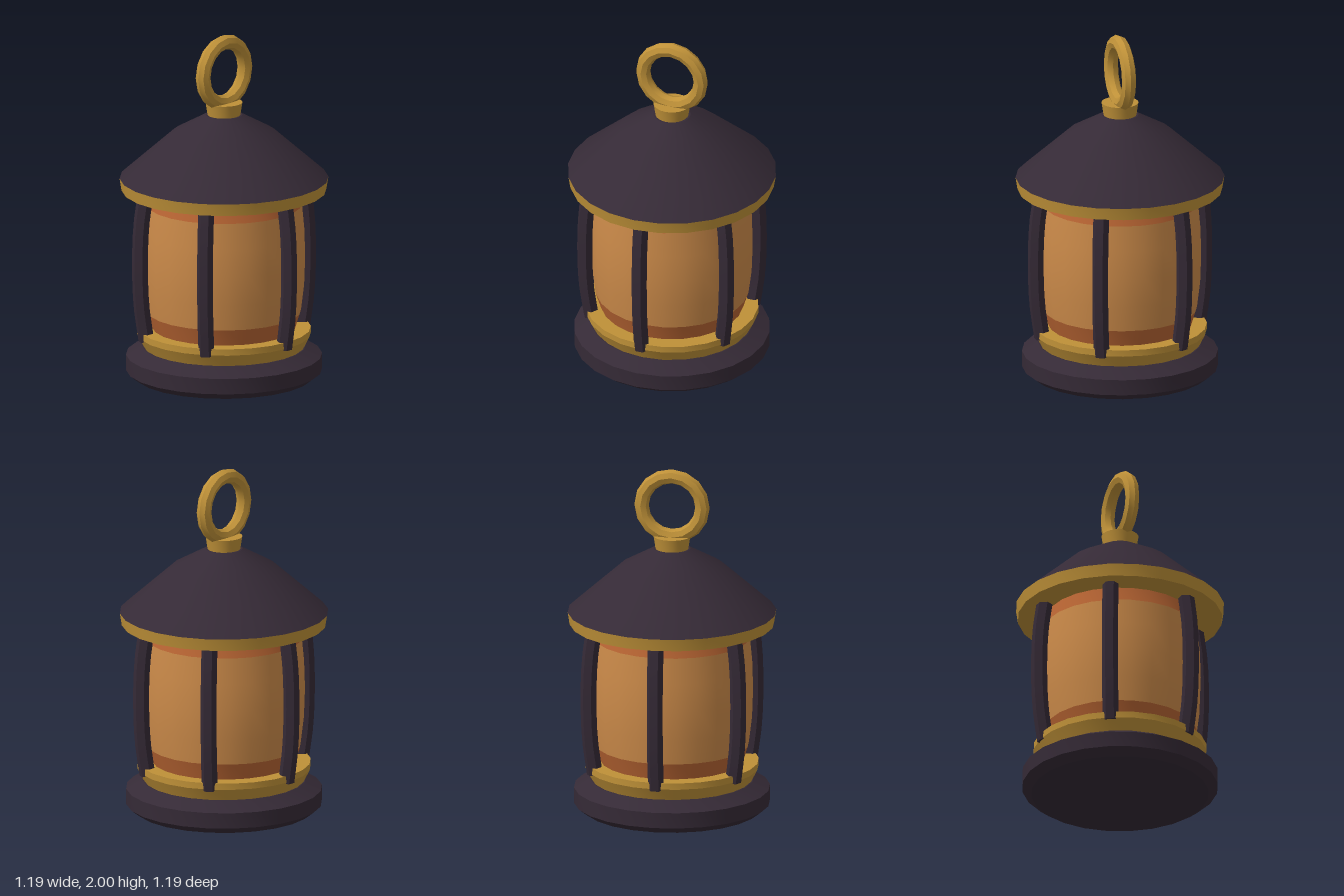
import * as THREE from 'three';
import { toCreasedNormals } from 'three/addons/utils/BufferGeometryUtils.js';

const SIDES = 24;
const CREASE = 0.45;

function material(name, color, side = THREE.FrontSide) {
  const m = new THREE.MeshStandardMaterial({ color, side });
  m.name = name;
  return m;
}

export function createModel() {
  const iron = material('dark iron', 0x352a36);
  const brass = material('brass', 0xbf9138);
  const amber = material('amber glass', 0xcb8a49);
  const orange = material('orange glass', 0xb96533);

  const lantern = new THREE.Group();
  lantern.name = 'lantern';

  function add(name, geometry, mat, parent = lantern) {
    const mesh = new THREE.Mesh(toCreasedNormals(geometry, CREASE), mat);
    mesh.name = name;
    parent.add(mesh);
    return mesh;
  }

  // Round part from [radius, height] pairs, listed from bottom to top
  function turned(name, mat, profile) {
    const points = profile.map(([r, y]) => new THREE.Vector2(r, y));
    return add(name, new THREE.LatheGeometry(points, SIDES), mat);
  }

  // Base and collar
  turned('base', iron, [[0, 0], [0.505, 0], [0.557, 0.04], [0.557, 0.13], [0.465, 0.18], [0, 0.18]]);
  turned('collar', brass, [[0.455, 0.175], [0.493, 0.25], [0.493, 0.287], [0, 0.287]]);

  // Barrel-shaped glass with darker bands at both ends
  turned('lowerGlassBand', orange, [[0.405, 0.28], [0.437, 0.383]]);
  turned('glass', amber, [[0.437, 0.383], [0.455, 0.53], [0.461, 0.70], [0.456, 0.86], [0.442, 1.01]]);
  turned('upperGlassBand', orange, [[0.442, 1.01], [0.418, 1.10]]);

  // Roof, brim and cap
  turned('brim', brass, [[0, 1.095], [0.582, 1.095], [0.593, 1.165]]);
  turned('roof', iron, [[0.593, 1.165], [0.295, 1.43], [0.105, 1.535], [0, 1.535]]);
  turned('cap', brass, [[0.093, 1.53], [0.105, 1.608], [0, 1.608]]);

  // Hanging ring
  add('ring', new THREE.TorusGeometry(0.176, 0.042, 8, 16), brass).position.y = 1.783;

  // Six bowed bars around the glass
  const bow = new THREE.CatmullRomCurve3([
    new THREE.Vector3(0, 0.245, 0.462),
    new THREE.Vector3(0, 0.45, 0.491),
    new THREE.Vector3(0, 0.70, 0.5),
    new THREE.Vector3(0, 0.93, 0.491),
    new THREE.Vector3(0, 1.13, 0.462),
  ]);
  for (let i = 0; i < 6; i++) {
    const bar = new THREE.Group();
    bar.name = 'bar' + (i + 1);
    add('barShaft', new THREE.TubeGeometry(bow, 10, 0.046, 6), iron, bar);
    const end = add('barEnd', new THREE.CircleGeometry(0.046, 6), iron, bar);
    end.position.copy(bow.getPoint(0));
    end.lookAt(end.position.clone().sub(bow.getTangent(0)));
    bar.rotation.y = (i * Math.PI) / 3;
    lantern.add(bar);
  }

  return lantern;
}
